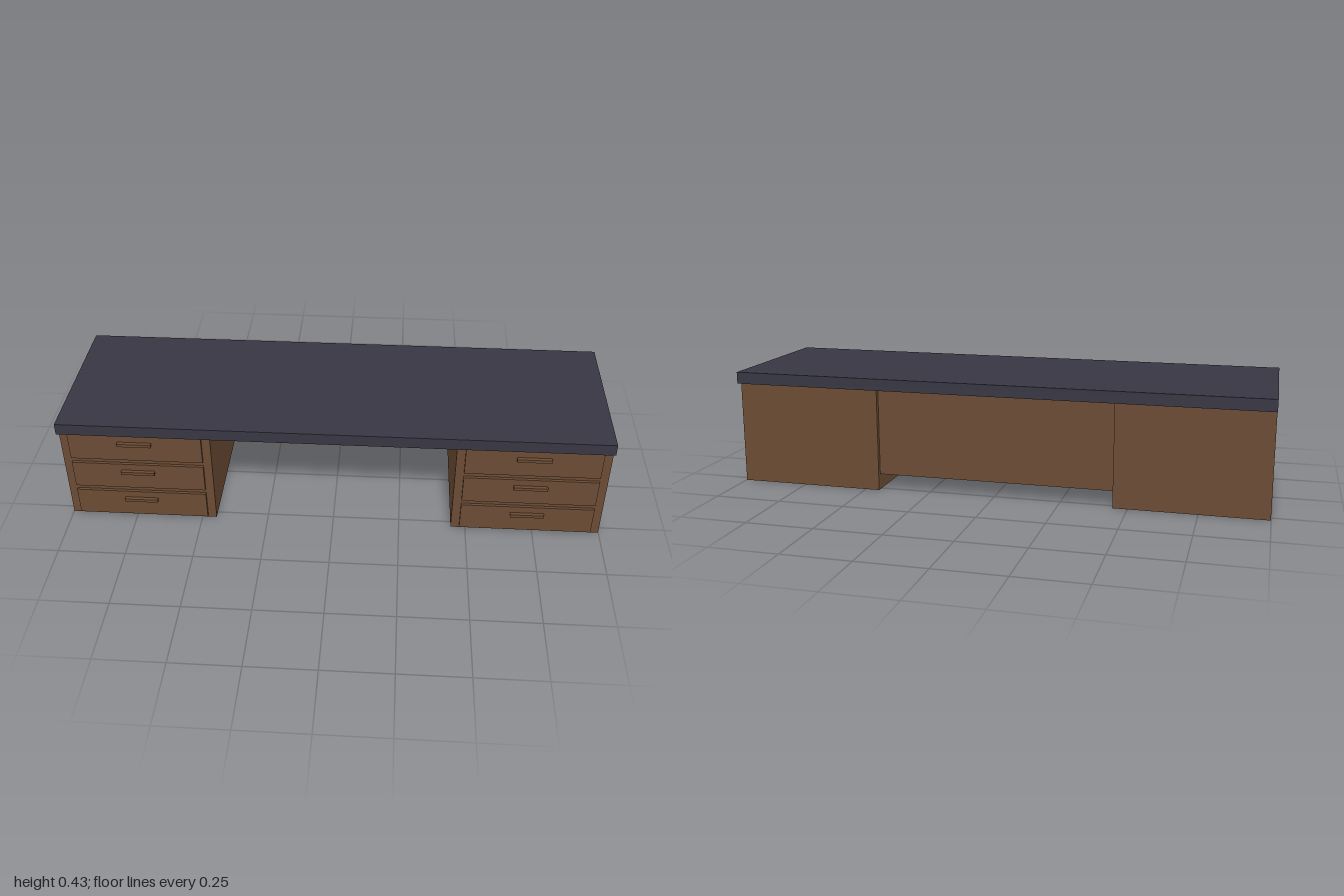
import * as THREE from 'three';

export function createModel() {
  const desk = new THREE.Group();
  desk.name = 'desk';

  const wood = new THREE.MeshStandardMaterial({ color: 0x6b4b34 });
  wood.name = 'brown wood';
  const slate = new THREE.MeshStandardMaterial({ color: 0x373643 });
  slate.name = 'dark slate';

  // Box given by its minimum and maximum along each axis
  function addBox(parent, name, material, [x0, x1], [y0, y1], [z0, z1]) {
    const mesh = new THREE.Mesh(new THREE.BoxGeometry(x1 - x0, y1 - y0, z1 - z0), material);
    mesh.position.set((x0 + x1) / 2, (y0 + y1) / 2, (z0 + z1) / 2);
    mesh.name = name;
    parent.add(mesh);
  }

  // Worktop slab and the recessed panel across the back of the knee space
  addBox(desk, 'desktop', slate, [-1, 1], [0.39, 0.434], [-0.305, 0.305]);
  addBox(desk, 'modestyPanel', wood, [-0.445, 0.445], [0.06, 0.39], [-0.264, -0.242]);

  // Two pedestals, each with three drawer fronts and bar handles
  for (const [side, sign] of [['left', 1], ['right', -1]]) {
    const pedestal = new THREE.Group();
    pedestal.name = side + 'Pedestal';
    pedestal.position.x = sign * 0.7225;
    desk.add(pedestal);

    addBox(pedestal, 'cabinet', wood, [-0.2765, 0.2765], [0, 0.39], [-0.278, 0.278]);
    for (let i = 0; i < 3; i++) {
      const y = 0.065 + i * 0.13;
      addBox(pedestal, 'drawerFront', wood, [-0.245, 0.245], [y - 0.055, y + 0.055], [0.278, 0.289]);
      addBox(pedestal, 'drawerHandle', wood, [-0.062, 0.062], [y + 0.016, y + 0.028], [0.289, 0.303]);
    }
  }

  return desk;
}
